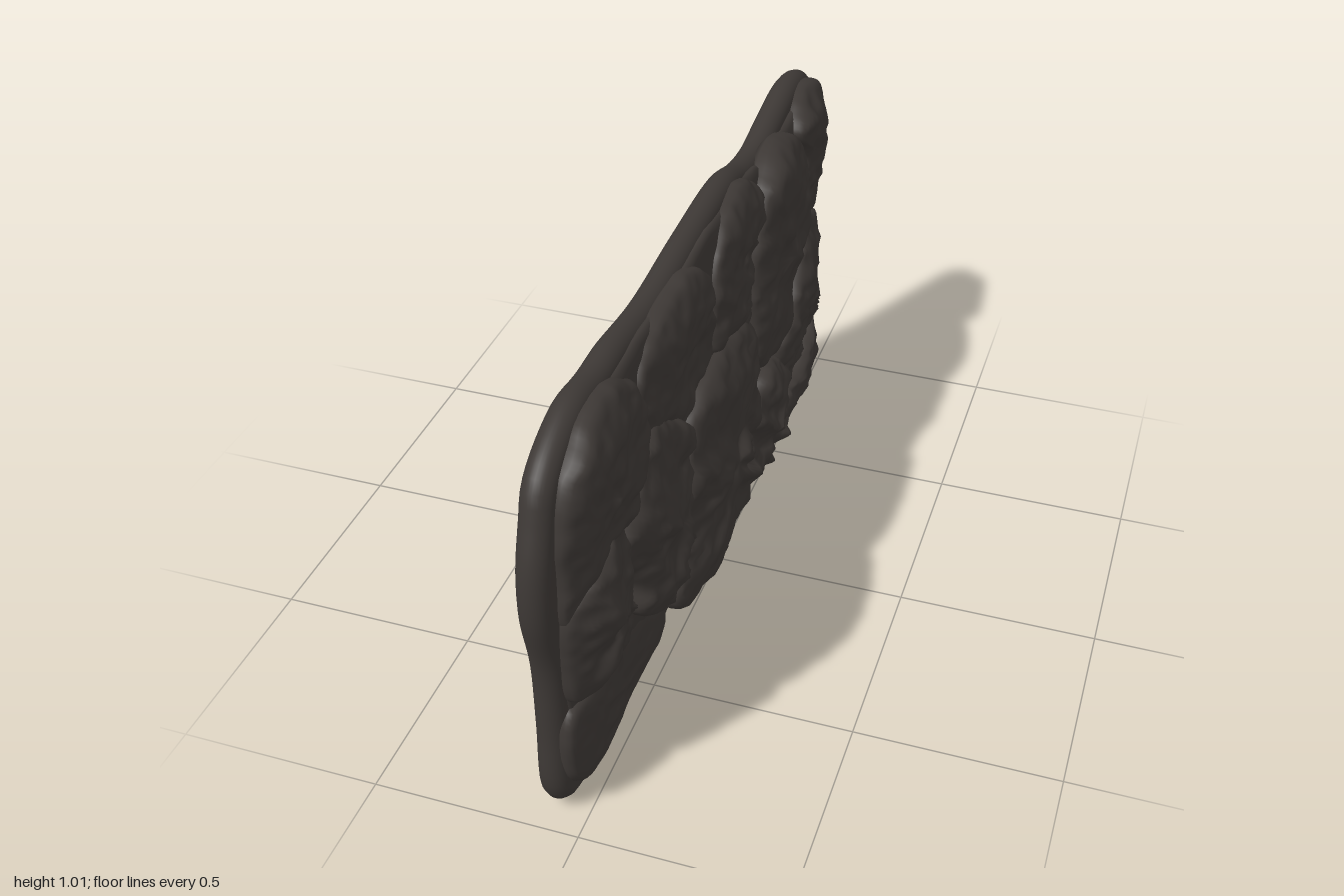
import * as THREE from 'three';

const stoneMat = new THREE.MeshStandardMaterial({ color: 0x3d3835 });
const SEG = 110;

// Seeded value noise, about -1..1
const hash = (i, j) => {
  const s = Math.sin(i * 127.1 + j * 311.7 + 4.3) * 43758.5453;
  return (s - Math.floor(s)) * 2 - 1;
};
function noise(u, v) {
  const i = Math.floor(u), j = Math.floor(v);
  const f = (t) => t * t * (3 - 2 * t);
  const a = f(u - i), b = f(v - j);
  return (hash(i, j) * (1 - a) + hash(i + 1, j) * a) * (1 - b)
    + (hash(i, j + 1) * (1 - a) + hash(i + 1, j + 1) * a) * b;
}

// Smooth closed outline from [z, y] pairs in hundredths
function outline(flat, count) {
  const pts = [];
  for (let i = 0; i < flat.length; i += 2) pts.push(new THREE.Vector3(0, flat[i + 1] / 100, flat[i] / 100));
  return new THREE.CatmullRomCurve3(pts, true, 'centripetal').getSpacedPoints(count).slice(0, count);
}

// Skin a stack of equal rings and close both ends with an apex
function skin(rings, startApex, endApex) {
  const n = rings[0].length, pos = [], idx = [];
  rings.forEach((r) => r.forEach((p) => pos.push(p.x, p.y, p.z)));
  for (let k = 0; k < rings.length - 1; k++) {
    for (let i = 0; i < n; i++) {
      const j = (i + 1) % n, a = k * n + i, b = k * n + j, c = a + n, d = b + n;
      idx.push(a, c, b, b, c, d);
    }
  }
  const start = pos.length / 3, end = start + 1, last = (rings.length - 1) * n;
  pos.push(startApex.x, startApex.y, startApex.z, endApex.x, endApex.y, endApex.z);
  for (let i = 0; i < n; i++) {
    const j = (i + 1) % n;
    idx.push(start, i, j, last + i, end, last + j);
  }
  const g = new THREE.BufferGeometry();
  g.setAttribute('position', new THREE.Float32BufferAttribute(pos, 3));
  g.setIndex(idx);
  g.computeVertexNormals();
  return g;
}

// Backing slab: wavy rounded rectangle with a half-round rim
function makeSlab() {
  const edge = outline([96, 85, 94, 91, 89, 96, 75, 101.3, 62, 100.3, 52, 100.5, 30, 98.5, 3, 100.3, -26, 101,
    -40, 97.5, -52, 96.5, -66, 99, -82, 101.3, -94, 99, -98, 95, -99.8, 89, -98.5, 69, -96, 42, -97.5, 18, -95.5, 7,
    -91, 2.5, -83, 1.2, -50, 1.2, -18, 3, 9, 4.2, 35, 3.5, 68, 0.5, 86, 0.7, 93, 3, 96, 8, 96, 26, 96.5, 45,
    99.8, 61, 99.3, 74], 180);
  const n = edge.length, xMid = -0.076, rx = 0.039, inset = 0.04;
  const ring = (t, extra = 0) => edge.map((p, i) => {
    const q = edge[(i + 1) % n], o = edge[(i + n - 1) % n];
    const dz = q.z - o.z, dy = q.y - o.y, len = Math.hypot(dz, dy);
    const d = inset * (1 - Math.cos(t)) + extra;
    return new THREE.Vector3(xMid + rx * Math.sin(t), p.y + dz / len * d, p.z - dy / len * d);
  });
  const rings = [ring(-Math.PI / 2, 0.015)];
  for (let k = -8; k <= 8; k++) rings.push(ring(k * Math.PI / 16));
  rings.push(ring(Math.PI / 2, 0.015));
  return skin(rings, new THREE.Vector3(xMid - rx, 0.5, 0), new THREE.Vector3(xMid + rx, 0.5, 0));
}

// Sharp chips jutting from the faces: z, y, height, radius
const CHIPS = [[-0.06, 0.28, 0.05, 0.045], [-0.03, 0.34, 0.025, 0.04], [-0.36, 0.2, 0.02, 0.03],
  [-0.42, 0.13, 0.02, 0.03], [-0.35, 0.09, 0.025, 0.03], [0.28, 0.46, 0.015, 0.03], [0.5, 0.52, 0.015, 0.03],
  [-0.5, 0.66, 0.02, 0.05]];
const chipHeight = (z, y) => Math.max(...CHIPS.map(([cz, cy, h, r]) => h * Math.max(0, 1 - Math.hypot(z - cz, y - cy) / r)));

// Rough stone: steep flank, rounded shoulder and chipped face, thinning toward the panel's border
const PROFILE = [[0.95, 0], [1, 0.2], [1.005, 0.42], [0.995, 0.6], [0.97, 0.71], [0.935, 0.78], [0.89, 0.83], [0.83, 0.88],
  [0.76, 0.92], [0.69, 0.95], [0.61, 0.97], [0.53, 0.98], [0.44, 0.99], [0.35, 1], [0.26, 1], [0.17, 1], [0.08, 1]];
function makeStone(flat, height, rough, seed) {
  const edge = outline(flat, SEG), base = -0.062;
  const c = edge.reduce((s, p) => s.add(p), new THREE.Vector3()).divideScalar(SEG);
  const point = (p, [scale, rise]) => {
    const chip = 1 + (0.03 * noise(p.z * 13 + seed, p.y * 13) + 0.016 * noise(p.z * 40, p.y * 40 + seed)) * rise;
    const z = c.z + (p.z - c.z) * scale * chip, y = c.y + (p.y - c.y) * scale * chip;
    const border = THREE.MathUtils.smoothstep(Math.min(0.98 - Math.abs(z), (y - 0.01) * 1.6, (1.03 - y) * 1.4), 0, 0.16);
    const top = THREE.MathUtils.lerp(Math.min(height, 0), height, border);
    // broad facets, long sharp chisel ridges and fine pitting
    const u = z * 0.8 + y * 0.6, v = y * 0.8 - z * 0.6;
    const ridge = 0.6 - 2 * Math.abs(noise(u * 6 + seed, v * 13 + noise(z * 9, y * 9)));
    const bumps = noise(u * 5, v * 8 + seed) * 0.5 + ridge * 0.35 + noise(z * 30, y * 38 + seed) * 0.3;
    const x = base + (top - base) * rise + bumps * rough * rise * (0.4 + 0.6 * border);
    return new THREE.Vector3(Math.min(0.113, x + chipHeight(z, y) * rise), y, z);
  };
  return skin(PROFILE.map((s) => edge.map((p) => point(p, s))), point(c, [0, 0]), point(c, [0, 1]));
}

export function createModel() {
  const group = new THREE.Group();
  const add = (name, geometry) => {
    const mesh = new THREE.Mesh(geometry, stoneMat);
    mesh.name = name;
    group.add(mesh);
  };
  let seed = 0;
  const stone = (name, height, rough, flat) => add(name, makeStone(flat, height, rough, (seed += 7.3)));

  add('backingSlab', makeSlab());

  // Low bed of rock that fills the joints
  stone('rockBed', -0.008, 0.01, [92, 82, 86, 94, 50, 98, 28, 97, 0, 98, -30, 98, -50, 94, -80, 97, -94, 94,
    -95, 70, -92, 40, -92, 14, -80, 6, -40, 6, 0, 9, 40, 8, 85, 7, 92, 15, 91, 50]);

  // Top course
  stone('topStone1', 0.028, 0.026, [93, 82, 90, 91, 84, 96, 75, 99.5, 59, 97, 51, 88, 51, 75, 62, 61, 76, 65, 86, 61, 93, 56, 94, 67]);
  stone('topStone2', 0.018, 0.022, [51, 90, 43, 96, 25, 98, 10, 96, 3, 85, 3, 68, 17, 66, 30, 61, 40, 70, 51, 76]);
  stone('topStone3', 0.028, 0.026, [3, 77, 0, 88, -10, 97, -26, 99.5, -36, 93, -28, 77, -26, 61, -8, 65, 3, 68]);
  stone('topStone4', 0.03, 0.026, [-73, 85, -69, 92, -77, 98.5, -86, 99.5, -95, 96, -97, 88, -95, 69, -92, 58, -80, 62, -73, 64]);

  // Bottom course
  stone('bottomStone1', 0.0, 0.008, [93, 31, 81, 30, 66, 31, 46, 22, 36, 15, 36, 9, 51, 8, 68, 7, 86, 5, 94, 12]);
  stone('bottomStone3', 0.035, 0.026, [-50, 16, -69, 16, -83, 21, -94, 24, -94, 11, -85, 4, -64, 4, -50, 8]);

  // Middle course
  stone('middleStone1', 0.042, 0.03, [93, 60, 81, 66, 69, 68, 64, 56, 67, 45, 63, 38, 67, 31, 81, 32, 92, 34, 94, 45]);
  stone('middleStone4', 0.04, 0.03, [-73, 62, -88, 60, -95, 51, -94, 29, -83, 21, -67, 16, -55, 19, -50, 35, -61, 43, -69, 56]);
  stone('middleStone2', 0.05, 0.035, [66, 64, 57, 72, 46, 77, 34, 70, 24, 59, 31, 45, 32, 31, 40, 23, 49, 25, 61, 34, 61, 42, 68, 55]);
  stone('centreStone', 0.058, 0.034, [31, 45, 27, 57, 14, 66, -8, 67, -26, 60, -28, 43, -30, 35, -16, 18, -14, 11,
    3, 7, 30, 9, 36, 16, 32, 31]);
  stone('bottomStone2', 0.05, 0.036, [-16, 24, -26, 33, -37, 38, -53, 31, -55, 18, -45, 8, -32, 3, -18, 5, -12, 12]);
  stone('tallStone', 0.05, 0.028, [-29, 77, -37, 92, -53, 97.5, -68, 92, -73, 80, -73, 67, -68, 56, -61, 43, -50, 37, -37, 39, -27, 45, -25, 59]);

  return group;
}
